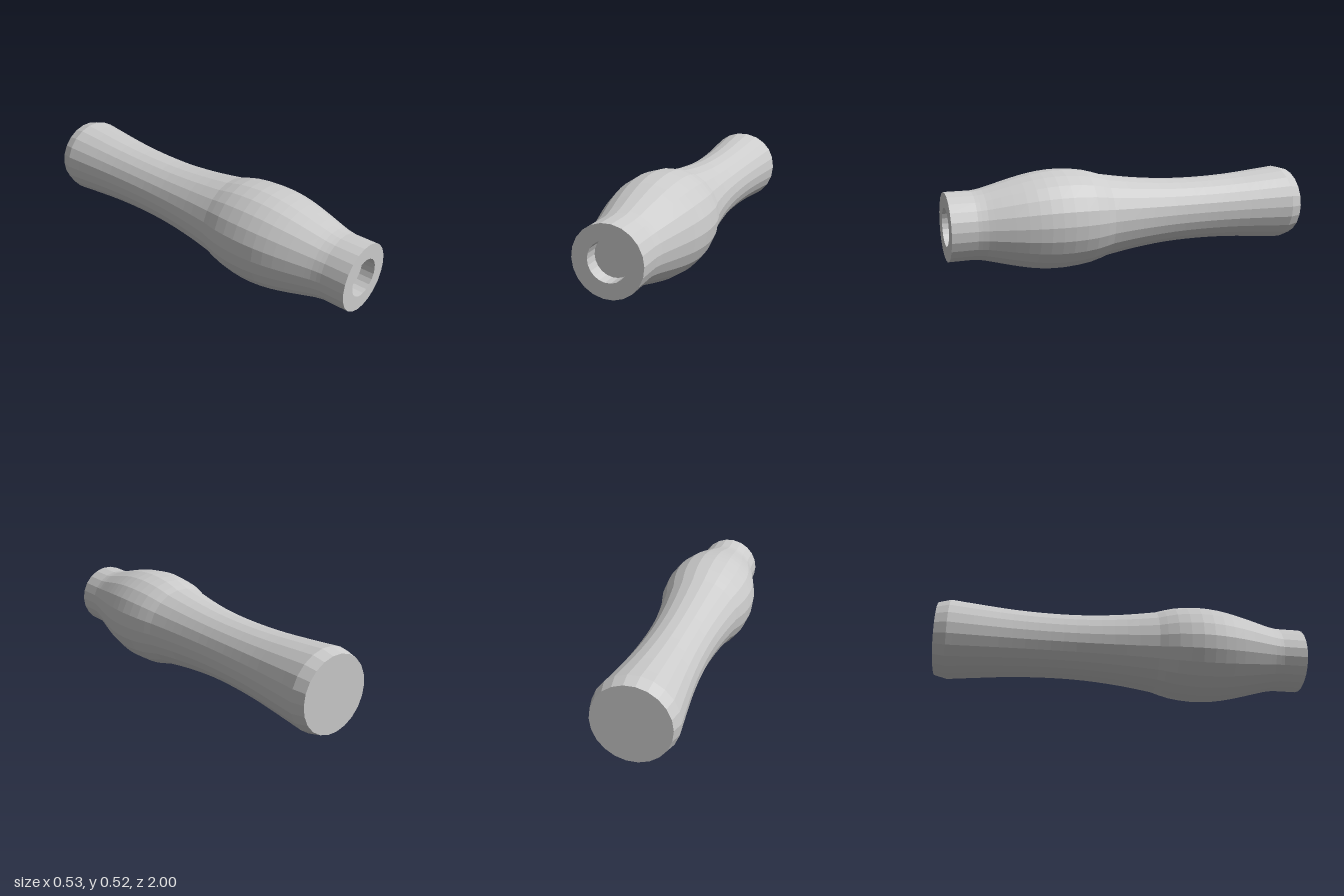
import * as THREE from 'three';

const SIDES = 22;
const AXIS_Y = 0.263;
const material = new THREE.MeshStandardMaterial({ color: 0xcccccc, flatShading: true });

const toPoints = (pairs) => pairs.map(([r, z]) => new THREE.Vector2(r, z));

// Smooth profile through [radius, z] pairs
const smooth = (pairs, steps) => new THREE.SplineCurve(toPoints(pairs)).getPoints(steps);

// Turned part along the z axis; profile runs from back to front
function turned(name, points) {
  const geometry = new THREE.LatheGeometry(points, SIDES, Math.PI / SIDES);
  geometry.rotateX(Math.PI / 2);
  const mesh = new THREE.Mesh(geometry, material);
  mesh.name = name;
  mesh.position.y = AXIS_Y;
  return mesh;
}

export function createModel() {
  const group = new THREE.Group();
  group.name = 'turnedHandle';

  // Flat back end with a chamfered rim
  group.add(turned('buttCap', toPoints([[0, -1], [0.195, -1], [0.212, -0.935]])));

  // Waisted grip
  group.add(turned('grip', smooth([
    [0.212, -0.935], [0.199, -0.8], [0.182, -0.6], [0.175, -0.4],
    [0.179, -0.2], [0.197, 0], [0.222, 0.17],
  ], 18)));

  // Rounded swell
  group.add(turned('swell', smooth([
    [0.222, 0.17], [0.25, 0.27], [0.263, 0.4], [0.256, 0.52],
    [0.235, 0.63], [0.203, 0.75], [0.184, 0.82], [0.176, 0.87],
  ], 14)));

  // Straight neck, front face and shallow socket
  group.add(turned('neckAndSocket', toPoints([
    [0.176, 0.87], [0.176, 1], [0.098, 1], [0.098, 0.93], [0, 0.93],
  ])));

  return group;
}
